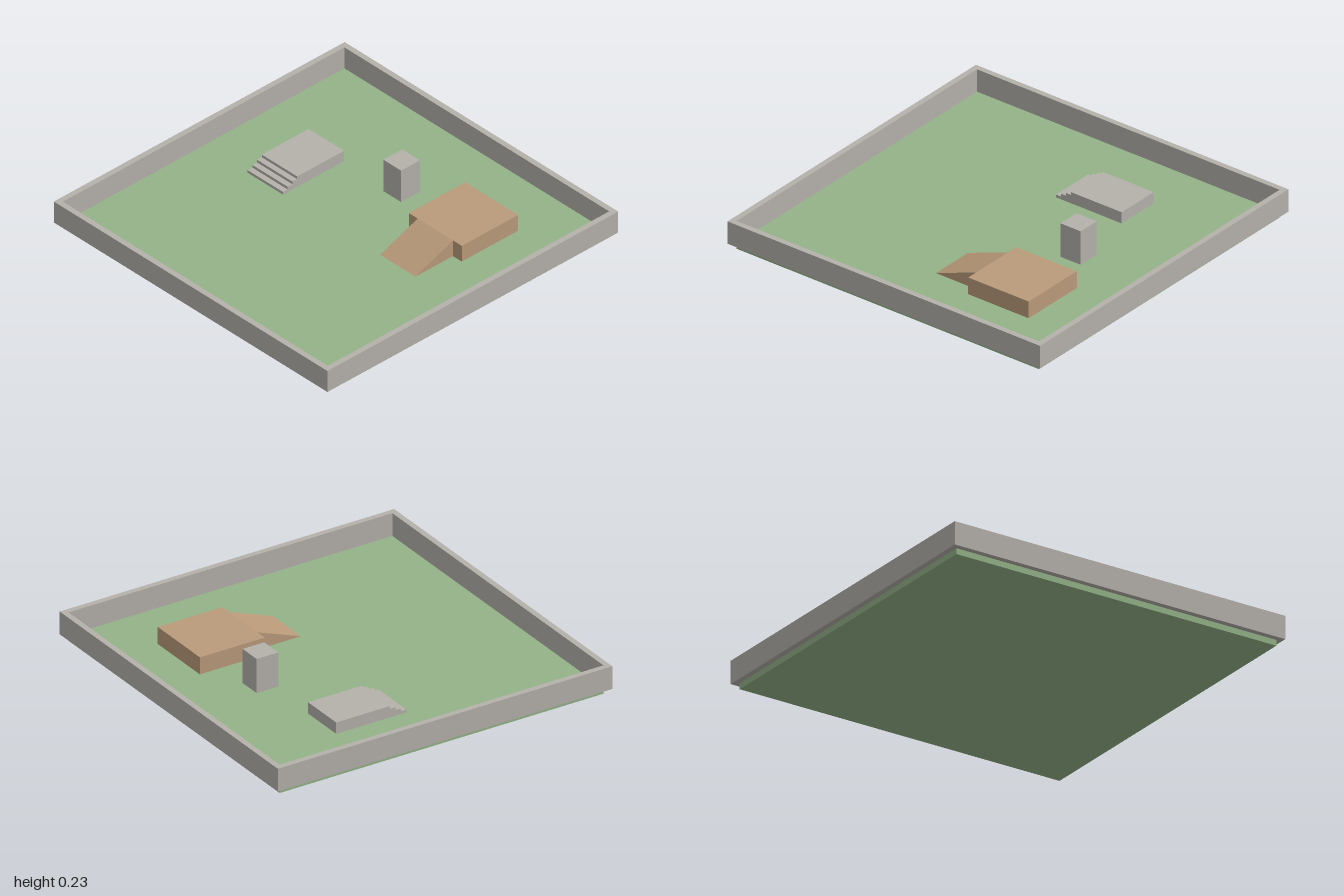
import * as THREE from 'three';

const U = 2 / 62; // layout unit: 60 units of lawn plus a 1 unit wall on each side

export function createModel() {
  const grass = new THREE.MeshStandardMaterial({ name: 'grass green', color: 0x93b388 });
  const stone = new THREE.MeshStandardMaterial({ name: 'stone grey', color: 0xb5b1ab });
  const wood = new THREE.MeshStandardMaterial({ name: 'wood tan', color: 0xba9b7a });

  const model = new THREE.Group();
  model.name = 'walledArena';

  const add = (name, geometry, material) => {
    geometry.scale(U, U, U);
    const mesh = new THREE.Mesh(geometry, material);
    mesh.name = name;
    model.add(mesh);
  };

  // Box from its size, centre x and z, and bottom height, all in units
  const box = (name, material, w, h, d, x, y, z) =>
    add(name, new THREE.BoxGeometry(w, h, d).translate(x, y + h / 2, z), material);

  // Side profile of [z, y] points, extruded along x from x0 to x1
  const profile = (name, material, points, x0, x1) => {
    const shape = new THREE.Shape(points.map(([z, y]) => new THREE.Vector2(-z, y)));
    const geometry = new THREE.ExtrudeGeometry(shape, { depth: x1 - x0, bevelEnabled: false });
    add(name, geometry.rotateY(Math.PI / 2).translate(x0, 0, 0), material);
  };

  // Ground slab and the four walls around it
  box('ground', grass, 60, 1, 60, 0, 0, 0);
  for (const s of [-1, 1]) {
    box(s > 0 ? 'frontWall' : 'backWall', stone, 62, 4, 1, 0, 1, s * 30.5);
    box(s > 0 ? 'leftWall' : 'rightWall', stone, 1, 4, 60, s * 30.5, 1, 0);
  }

  // Free-standing pillar
  box('pillar', stone, 4, 6, 4, 0, 1, -14);

  // Wooden platform with a ramp down to the front
  box('platform', wood, 12, 3, 12, 14, 1, -14);
  profile('ramp', wood, [[-8, 1], [0, 1], [-8, 4]], 10, 18);

  // Low stone terrace with three steps at the front
  box('terrace', stone, 8, 2, 10, -16, 1, -8);
  for (let i = 0; i < 3; i++) {
    box('step', stone, 8, 1.5 - i * 0.5, 1, -16, 1, -2.5 + i);
  }

  return model;
}
